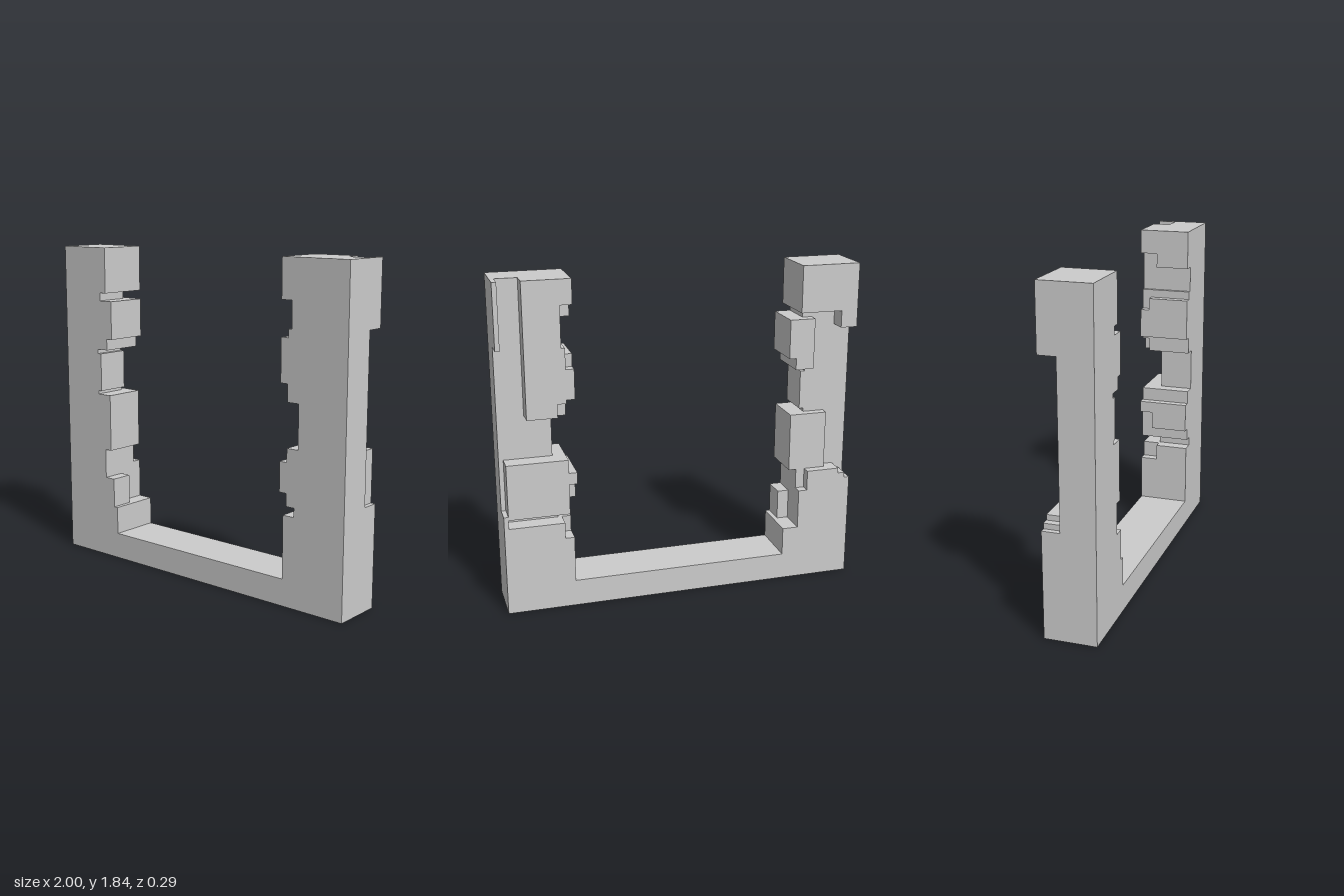
import * as THREE from 'three';

const FRONT = 0.143, MID = -0.045, BACK = -0.143;

export function createModel() {
  const group = new THREE.Group();
  const material = new THREE.MeshStandardMaterial({ color: 0xcccccc, flatShading: true });

  // Extrudes an outline in the xy plane from z0 to z1
  function slab(name, points, z0, z1) {
    const shape = new THREE.Shape(points.map(([x, y]) => new THREE.Vector2(x, y)));
    const geometry = new THREE.ExtrudeGeometry(shape, { depth: z1 - z0, bevelEnabled: false });
    geometry.translate(0, 0, z0);
    const mesh = new THREE.Mesh(geometry, material);
    mesh.name = name;
    group.add(mesh);
  }
  const block = (name, x0, x1, y0, y1, z0, z1) =>
    slab(name, [[x0, y0], [x1, y0], [x1, y1], [x0, y1]], z0, z1);

  // Turns [edge x, top y] steps, listed upward from y, into a stepped edge
  function steps(y, list) {
    const points = [];
    for (const [x, top] of list) {
      points.push([x, y], [x, top]);
      y = top;
    }
    return points;
  }

  // Front layer: sill and both pillars with their broken inner edges
  const leftEdge = steps(0.15, [
    [0.62, 0.5], [0.69, 0.55], [0.64, 0.62], [0.595, 0.785], [0.64, 0.86], [0.71, 1.1],
    [0.64, 1.195], [0.595, 1.43], [0.64, 1.475], [0.66, 1.62], [0.595, 1.835],
  ]);
  const rightEdge = steps(0.15, [
    [-0.6, 0.31], [-0.69, 0.65], [-0.645, 0.98], [-0.74, 1.0], [-0.715, 1.22], [-0.74, 1.245],
    [-0.665, 1.31], [-0.625, 1.53], [-0.715, 1.575], [-0.67, 1.835],
  ]);
  slab('frameFront', [
    [-1, 0], [1, 0], [1, 1.835], ...leftEdge.reverse(), ...rightEdge, [-1, 1.835],
  ], MID, FRONT);
  block('rightFrontStone', -0.69, -0.625, 0.31, 0.48, 0.015, FRONT);

  // Back layer: sill and pillar feet
  slab('frameBackBase', [
    [-1, 0], [1, 0], [1, 0.57], [0.975, 0.57], [0.975, 0.5], [0.67, 0.5], [0.67, 0.41],
    [0.62, 0.41], [0.62, 0.15], [-0.6, 0.15], [-0.6, 0.31], [-0.69, 0.31], [-0.69, 0.535],
    [-0.74, 0.535], [-0.74, 0.65], [-0.93, 0.65], [-0.93, 0.62], [-0.97, 0.62],
    [-0.97, 0.59], [-1, 0.59],
  ], BACK, MID);
  block('rightFootFill', -0.74, -0.69, 0.535, 0.65, -0.09, MID);

  // Left pillar, back stones
  slab('leftMiddleStone', [
    [0.975, 0.55], [0.975, 0.86], [0.64, 0.86], [0.64, 0.785], [0.595, 0.785],
    [0.595, 0.72], [0.64, 0.72], [0.64, 0.55],
  ], BACK, MID);
  block('leftMiddleFill', 0.595, 0.64, 0.62, 0.72, -0.07, MID);
  slab('leftUpperStone', [
    [0.855, 1.1], [0.855, 1.835], [0.595, 1.835], [0.595, 1.7], [0.66, 1.7], [0.66, 1.475],
    [0.64, 1.475], [0.64, 1.36], [0.595, 1.36], [0.595, 1.195], [0.64, 1.195],
    [0.64, 1.175], [0.69, 1.175], [0.69, 1.1],
  ], BACK, MID);
  block('leftUpperFill', 0.595, 0.64, 1.36, 1.43, -0.09, MID);
  block('leftUpperLowFill', 0.64, 0.69, 1.1, 1.175, -0.1, MID);
  block('leftOuterFlap', 0.975, 1, 1.48, 1.835, BACK, MID);

  // Right pillar, back stones
  block('rightMiddleStone', -0.86, -0.645, 0.65, 0.98, -0.093, MID);
  slab('rightUpperStone', [
    [-0.77, 1.245], [-0.665, 1.245], [-0.665, 1.31], [-0.625, 1.31], [-0.625, 1.53], [-0.77, 1.53],
  ], -0.1, MID);
  slab('rightCapStone', [
    [-1, 1.48], [-0.906, 1.48], [-0.906, 1.575], [-0.67, 1.575], [-0.67, 1.835], [-1, 1.835],
  ], BACK, MID);

  return group;
}
